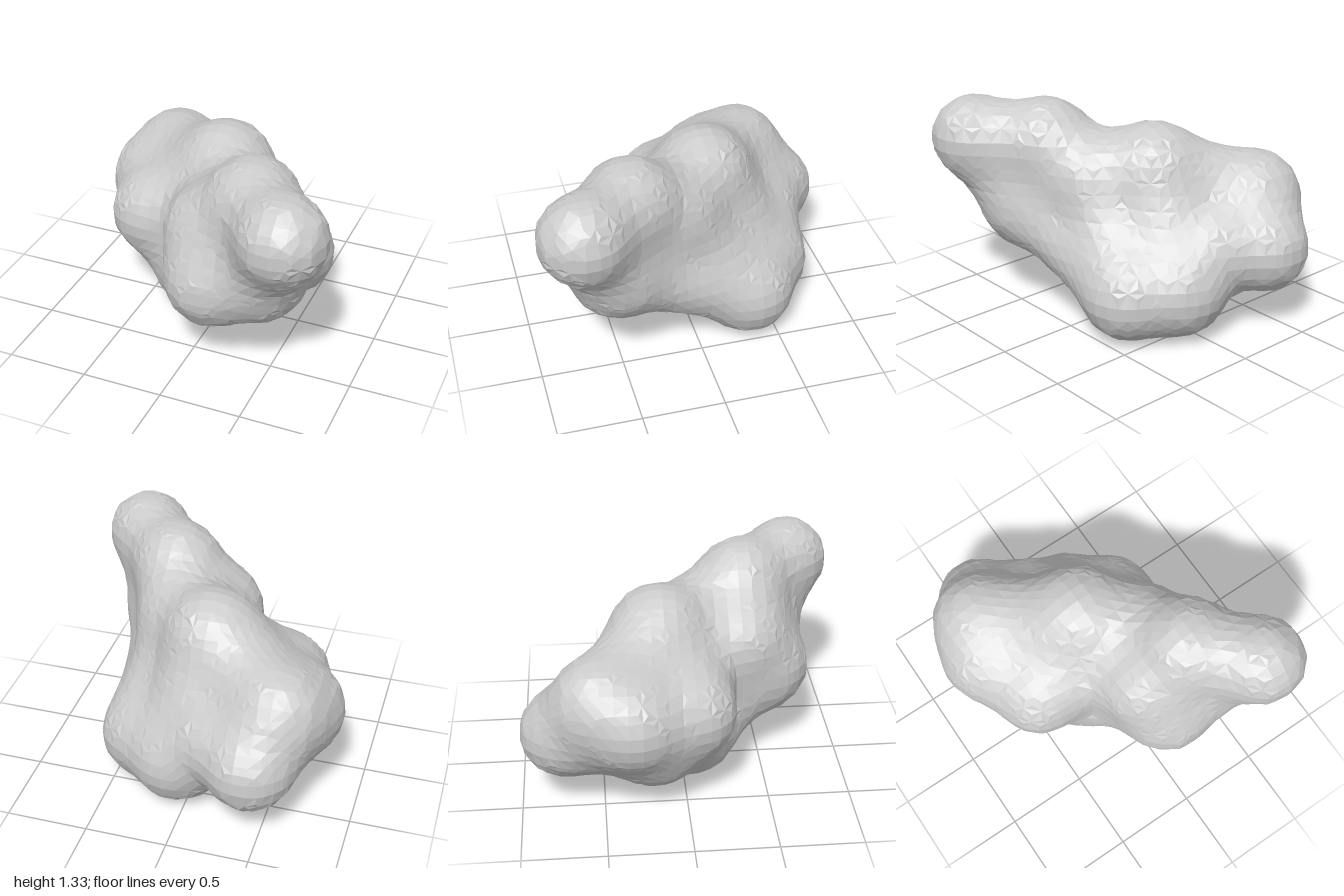
import * as THREE from 'three';

// Lobes of the blob: x, y, z, radius
const LOBES = {
  tip: [0.64, 1.08, 0.735, 0.265],
  brow: [0.34, 1.06, 0.40, 0.285],
  temple: [0.07, 0.81, 0.38, 0.285],
  chin: [0.14, 0.58, 0.52, 0.30],
  cheek: [0.42, 0.67, 0.50, 0.295],
  neck: [0.21, 0.86, 0.14, 0.31],
  crown: [-0.05, 0.94, -0.14, 0.30],
  flank: [-0.61, 0.66, -0.33, 0.29],
  rear: [-0.43, 0.50, -0.73, 0.27],
  saddle: [-0.17, 0.52, -0.56, 0.255],
  rearShoulder: [-0.54, 0.75, -0.52, 0.29],
  frontShoulder: [-0.46, 0.62, 0.02, 0.28],
  belly: [-0.41, 0.46, -0.20, 0.33],
  foot: [-0.14, 0.30, 0.04, 0.30],
  sideFoot: [0.33, 0.29, -0.34, 0.28],
  rearFoot: [0.07, 0.31, -0.50, 0.30],
  sole: [0.10, 0.30, -0.22, 0.295],
  core: [-0.10, 0.60, -0.20, 0.38],
};

// Each lobe flows into these neighbours
const LINKS = {
  tip: ['brow', 'cheek'],
  brow: ['chin', 'cheek', 'neck', 'temple'],
  temple: ['chin', 'cheek', 'neck', 'core'],
  chin: ['cheek', 'foot', 'core'],
  neck: ['cheek', 'crown', 'core', 'sideFoot', 'frontShoulder'],
  crown: ['flank', 'rearShoulder', 'frontShoulder', 'rearFoot'],
  flank: ['rearShoulder', 'frontShoulder', 'belly', 'rear'],
  rear: ['rearShoulder', 'belly', 'saddle'],
  saddle: ['rearFoot', 'rearShoulder', 'core'],
  belly: ['frontShoulder', 'foot', 'rearFoot', 'core'],
  foot: ['frontShoulder', 'sole', 'core'],
  core: ['frontShoulder', 'rearShoulder', 'sideFoot'],
  sideFoot: ['rearFoot', 'sole', 'cheek'],
  sole: ['rearFoot'],
};
const BLEND = 0.04;
const STEP = 0.08;

// Tapered capsules; radii are eased so that a lobe shared by many links keeps its size
function makeLinks() {
  const pairs = Object.entries(LINKS).flatMap(([a, ends]) => ends.map((b) => [a, b]));
  const radius = (name) => LOBES[name][3] - BLEND * Math.log(pairs.filter((p) => p.includes(name)).length);
  return pairs.map(([a, b]) => {
    const start = new THREE.Vector3(...LOBES[a]);
    const axis = new THREE.Vector3(...LOBES[b]).sub(start);
    return { start, axis, lengthSq: axis.lengthSq(), r0: radius(a), r1: radius(b) };
  });
}
const links = makeLinks();

// Signed distance to the softly merged links
function field(x, y, z) {
  let sum = 0;
  for (const { start, axis, lengthSq, r0, r1 } of links) {
    const dx = x - start.x, dy = y - start.y, dz = z - start.z;
    const t = THREE.MathUtils.clamp((dx * axis.x + dy * axis.y + dz * axis.z) / lengthSq, 0, 1);
    const d = Math.hypot(dx - t * axis.x, dy - t * axis.y, dz - t * axis.z);
    sum += Math.exp((r0 + (r1 - r0) * t - d) / BLEND);
  }
  return -BLEND * Math.log(sum);
}

// Grid surface: one vertex per crossed cell, one quad per crossed edge
function blobGeometry() {
  const min = [-1.15, -0.2, -1.2];
  const size = [30, 22, 31];
  const at = (i, j, k) => [min[0] + i * STEP, min[1] + j * STEP, min[2] + k * STEP];
  const key = (i, j, k) => (i * size[1] + j) * size[2] + k;
  const values = [];
  for (let i = 0; i < size[0]; i++)
    for (let j = 0; j < size[1]; j++)
      for (let k = 0; k < size[2]; k++) values[key(i, j, k)] = field(...at(i, j, k));

  const positions = [], indices = [], cells = new Map();

  // Mean of the edge crossings of a cell
  function cellVertex(c) {
    const id = key(...c);
    if (cells.has(id)) return cells.get(id);
    const mean = new THREE.Vector3();
    let count = 0;
    for (let corner = 0; corner < 8; corner++) {
      for (let axis = 0; axis < 3; axis++) {
        if (corner & (1 << axis)) continue;
        const a = c.map((v, n) => v + ((corner >> n) & 1));
        const b = a.slice();
        b[axis]++;
        const fa = values[key(...a)], fb = values[key(...b)];
        if ((fa < 0) === (fb < 0)) continue;
        const p = at(...a);
        p[axis] += STEP * fa / (fa - fb);
        mean.add(new THREE.Vector3(...p));
        count++;
      }
    }
    mean.divideScalar(count);
    positions.push(mean.x, mean.y, mean.z);
    cells.set(id, cells.size);
    return cells.size - 1;
  }

  for (let i = 1; i < size[0] - 1; i++)
    for (let j = 1; j < size[1] - 1; j++)
      for (let k = 1; k < size[2] - 1; k++)
        for (let axis = 0; axis < 3; axis++) {
          const next = [i, j, k];
          next[axis]++;
          const inside = values[key(i, j, k)] < 0;
          if (inside === (values[key(...next)] < 0)) continue;
          const quad = [[-1, -1], [0, -1], [0, 0], [-1, 0]].map(([u, v]) => {
            const c = [i, j, k];
            c[(axis + 1) % 3] += u;
            c[(axis + 2) % 3] += v;
            return cellVertex(c);
          });
          if (!inside) quad.reverse();
          const [a, b, c, d] = quad;
          indices.push(a, b, c, a, c, d);
        }

  const geometry = new THREE.BufferGeometry();
  geometry.setAttribute('position', new THREE.Float32BufferAttribute(positions, 3));
  geometry.setIndex(indices);
  geometry.computeVertexNormals();
  return geometry;
}

export function createModel() {
  const model = new THREE.Group();
  model.name = 'blob';
  const material = new THREE.MeshStandardMaterial({ color: 0xcccccc, flatShading: true });
  const body = new THREE.Mesh(blobGeometry(), material);
  body.name = 'lobedBody';
  model.add(body);
  return model;
}
